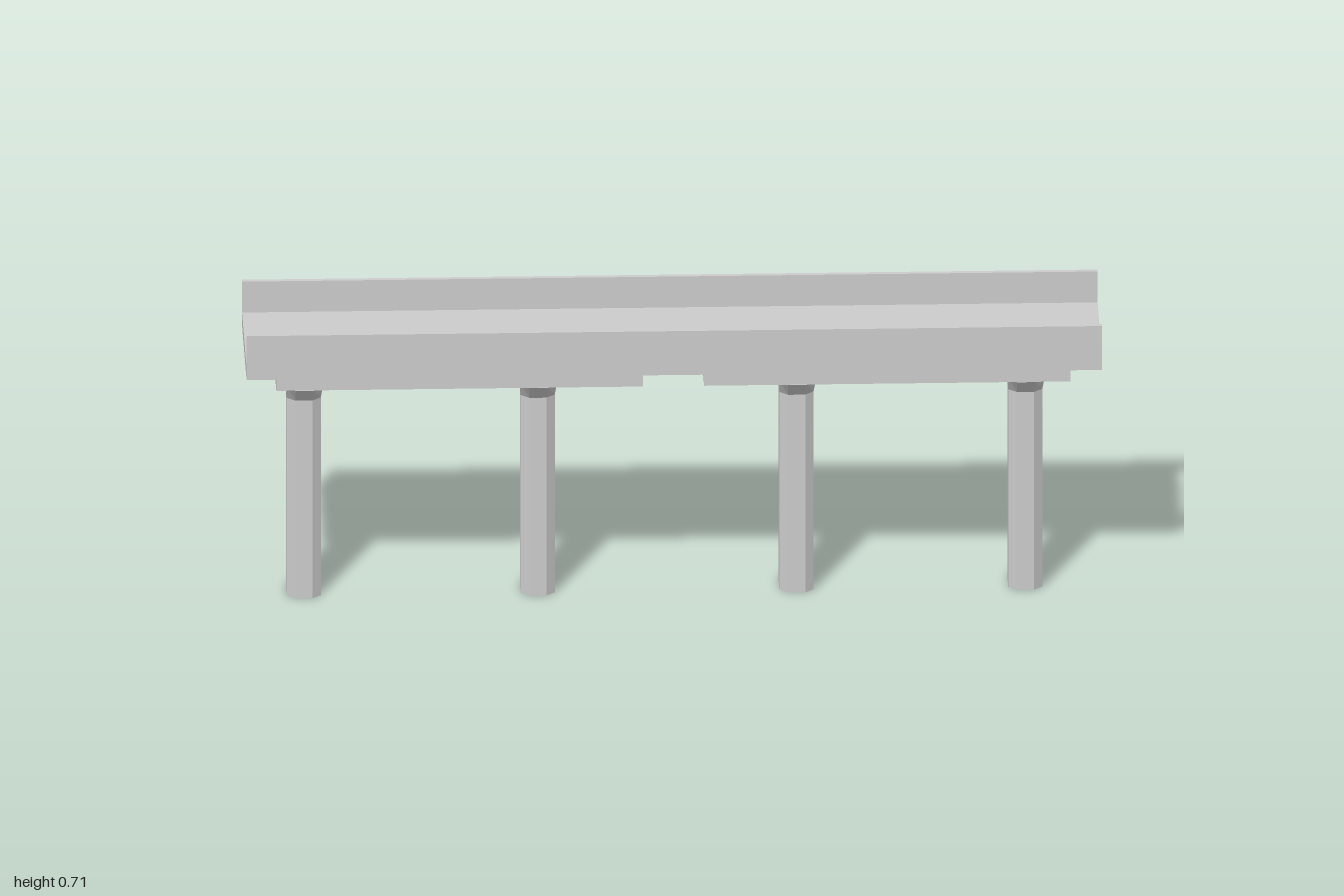
import * as THREE from 'three';

const material = new THREE.MeshStandardMaterial({ color: 0xcccccc, flatShading: true });

function addMesh(parent, geometry, name) {
  const mesh = new THREE.Mesh(geometry, material);
  mesh.name = name;
  parent.add(mesh);
  return mesh;
}

// Stretched octagon with chamfered corners; x and z are half sizes, fx and fz half flats
function octagon(y, x, z, fx, fz) {
  return [[x, fz], [fx, z], [-fx, z], [-x, fz], [-x, -fz], [-fx, -z], [fx, -z], [x, -fz]]
    .map(([px, pz]) => new THREE.Vector3(px, y, pz));
}

// Closed faceted solid through a stack of rings, bottom to top
function loft(rings) {
  const points = [];
  const n = rings[0].length;
  for (let r = 0; r < rings.length - 1; r++) {
    for (let i = 0; i < n; i++) {
      const j = (i + 1) % n;
      const [a, b, c, d] = [rings[r][i], rings[r][j], rings[r + 1][j], rings[r + 1][i]];
      points.push(a, d, c, a, c, b);
    }
  }
  const bottom = rings[0];
  const top = rings[rings.length - 1];
  for (let i = 1; i < n - 1; i++) {
    points.push(bottom[0], bottom[i], bottom[i + 1], top[0], top[i + 1], top[i]);
  }
  const geometry = new THREE.BufferGeometry().setFromPoints(points);
  geometry.computeVertexNormals();
  return geometry;
}

// Trough-shaped section of one span: slab with a parapet on each edge
function spanGeometry(length) {
  const w = 0.173, inner = 0.161, base = 0.603, floor = 0.636, rim = 0.714;
  const section = new THREE.Shape([
    [-w, base], [w, base], [w, rim], [inner, rim],
    [inner, floor], [-inner, floor], [-inner, rim], [-w, rim],
  ].map(([x, y]) => new THREE.Vector2(x, y)));
  const geometry = new THREE.ExtrudeGeometry(section, { depth: length, bevelEnabled: false });
  return geometry.translate(0, 0, -length / 2).rotateY(Math.PI / 2);
}

export function createModel() {
  const bridge = new THREE.Group();
  bridge.name = 'bridge';

  // Two deck spans meeting in the middle, each over its own bearing beam
  const deck = spanGeometry(1);
  const beam = new THREE.BoxGeometry(0.857, 0.053, 0.225);
  for (const [side, x] of [['right', -0.5], ['left', 0.5]]) {
    addMesh(bridge, deck, side + 'DeckSpan').position.x = x;
    addMesh(bridge, beam, side + 'BearingBeam').position.set(x, 0.5765, 0);
  }

  // Faceted piers whose heads flare out across the deck
  const foot = octagon(0, 0.04, 0.0505, 0.02, 0.0315);
  const neck = octagon(0.5, 0.04, 0.0505, 0.02, 0.0315);
  const head = octagon(0.55, 0.045, 0.112, 0.022, 0.068);
  const shaft = loft([foot, neck]);
  const capital = loft([neck, head]);
  [-0.862, -0.315, 0.29, 0.825].forEach((x, i) => {
    const pier = new THREE.Group();
    pier.name = 'pier' + (i + 1);
    pier.position.set(x, 0, 0.0025);
    addMesh(pier, shaft, 'shaft');
    addMesh(pier, capital, 'capital');
    bridge.add(pier);
  });

  return bridge;
}
